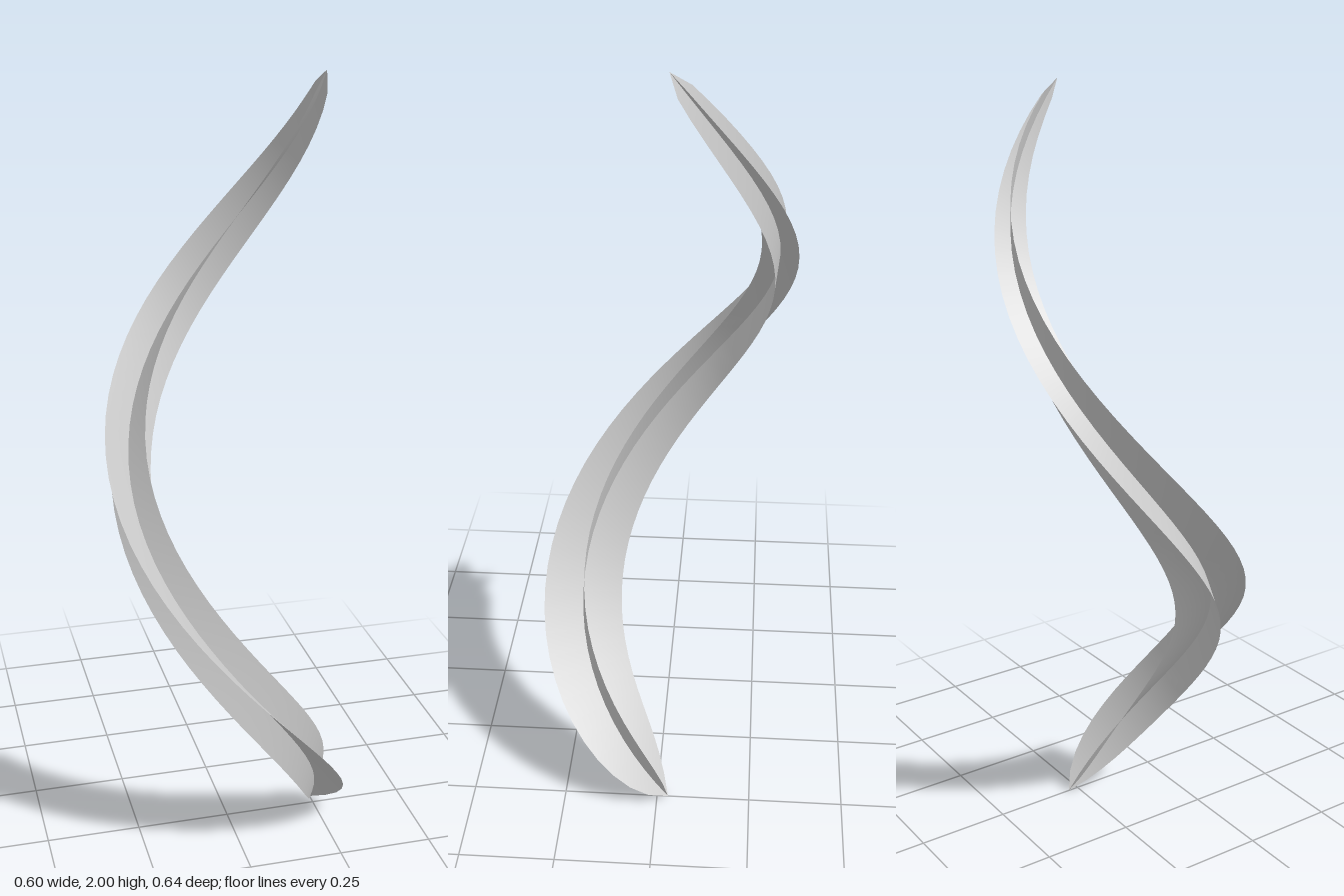
import * as THREE from 'three';

const STEPS = 48, RADIUS = 0.247, HEIGHT = 2;
const material = new THREE.MeshStandardMaterial({ color: 0xcccccc, side: THREE.DoubleSide });

// Centre line: one full helix turn, with a frame (radial, binormal) at each point
function spine(t) {
  const a = t * Math.PI * 2, c = Math.cos(a), s = Math.sin(a);
  const point = new THREE.Vector3(0.003 + RADIUS * c, HEIGHT * t, -0.03 + RADIUS * s);
  const radial = new THREE.Vector3(c, 0, s);
  const tangent = new THREE.Vector3(-RADIUS * 2 * Math.PI * s, HEIGHT, RADIUS * 2 * Math.PI * c).normalize();
  const binormal = new THREE.Vector3().crossVectors(tangent, radial).normalize();
  if (binormal.y < 0) binormal.negate();
  return { point, radial, binormal };
}

// Half width: swells quickly from the base, tapers to a point at the tip
const halfWidth = (t) => 0.119 * Math.pow(1 - t, 0.44) * (1 - Math.exp(-t / 0.05));

// Twist of the section around the centre line
const twist = (t) => THREE.MathUtils.degToRad(-29 + 146 * t);

// A twisted strip with its middle on the centre line
function ribbon(name, scale, turn) {
  const positions = [], index = [];
  for (let i = 0; i <= STEPS; i++) {
    const t = i / STEPS, { point, radial, binormal } = spine(t);
    const angle = twist(t) + turn;
    for (const side of [-1, 0, 1]) {
      const w = side * scale * halfWidth(t);
      const p = point.clone()
        .addScaledVector(radial, w * Math.cos(angle))
        .addScaledVector(binormal, w * Math.sin(angle));
      positions.push(p.x, Math.max(0, p.y), p.z);
    }
    if (i === STEPS) continue;
    for (let j = 0; j < 2; j++) {
      const a = i * 3 + j, b = a + 1, c = a + 3, d = a + 4;
      index.push(a, c, b, b, c, d);
    }
  }
  const geometry = new THREE.BufferGeometry();
  geometry.setAttribute('position', new THREE.Float32BufferAttribute(positions, 3));
  geometry.setIndex(index);
  geometry.computeVertexNormals();
  const mesh = new THREE.Mesh(geometry, material);
  mesh.name = name;
  return mesh;
}

export function createModel() {
  const group = new THREE.Group();
  group.name = 'spiralBlade';
  // Wide blade and a narrower one crossing it at a right angle
  group.add(ribbon('wideBlade', 1, 0));
  group.add(ribbon('crossBlade', 0.7, Math.PI / 2));
  return group;
}
